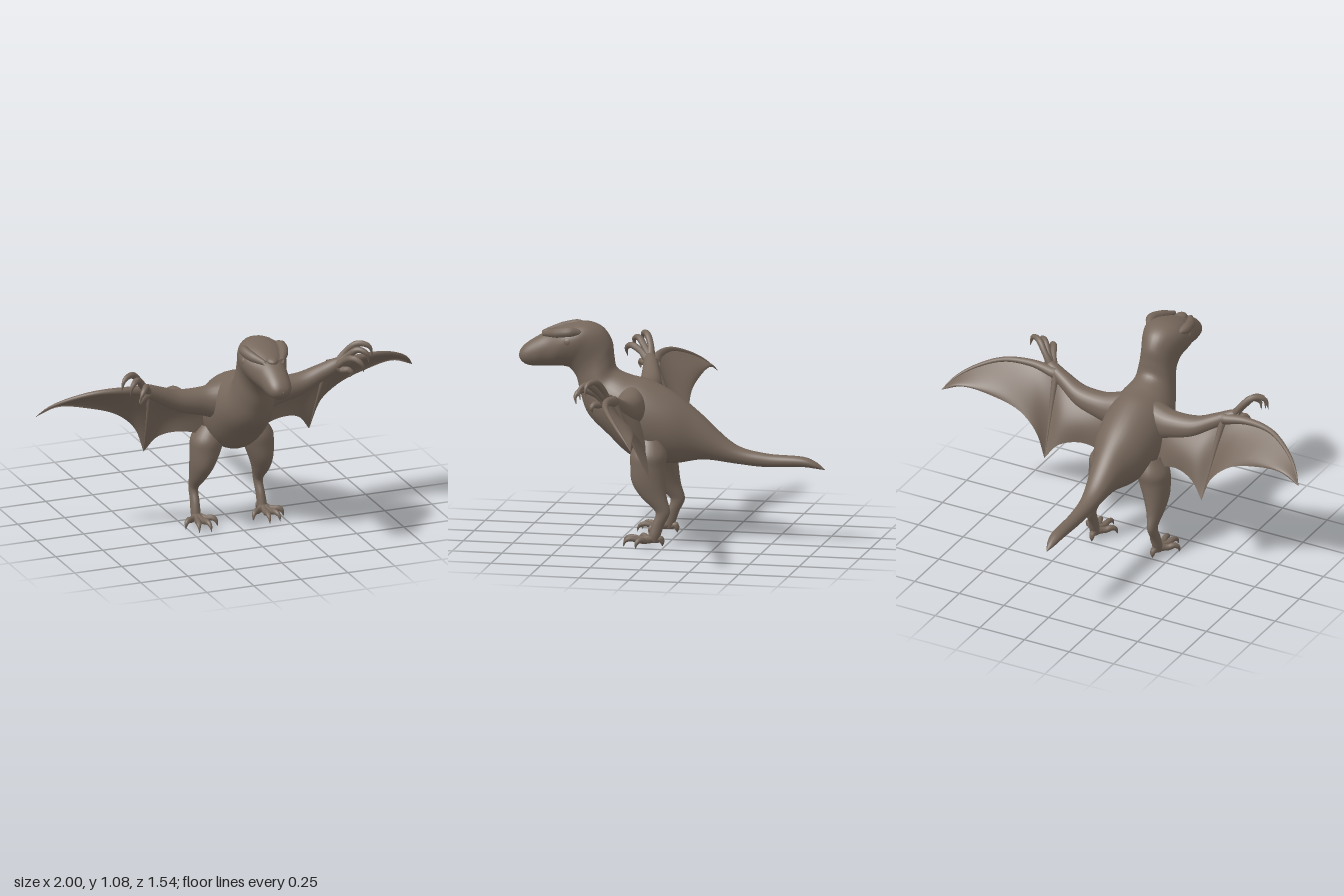
import * as THREE from 'three';

const hide = new THREE.MeshStandardMaterial({ color: 0x76675b, side: THREE.DoubleSide });
hide.name = 'brown hide';
const V = (x, y, z) => new THREE.Vector3(x, y, z);

// Surface from rows of points; closed rows wrap around
function skin(rows, closed) {
  const n = rows[0].length, pos = [], idx = [];
  rows.forEach(r => r.forEach(p => pos.push(p.x, p.y, p.z)));
  for (let i = 0; i < rows.length - 1; i++) {
    for (let j = 0; j < (closed ? n : n - 1); j++) {
      const a = i * n + j, b = i * n + (j + 1) % n;
      idx.push(a, b, a + n, b, b + n, a + n);
    }
  }
  const g = new THREE.BufferGeometry();
  g.setAttribute('position', new THREE.Float32BufferAttribute(pos, 3));
  g.setIndex(idx);
  g.computeVertexNormals();
  return g;
}

// Oval ring around centre c with half axes u and v; taper widens the v side
function ring(c, u, v, n, taper = 0) {
  return Array.from({ length: n }, (_, j) => {
    const a = j / n * Math.PI * 2, s = Math.sin(a);
    return c.clone().addScaledVector(u, Math.cos(a) * (1 + taper * s)).addScaledVector(v, s);
  });
}

// Smooth loft through sections { c, u, v, taper }
function loft(sections, steps, n) {
  const curve = k => new THREE.CatmullRomCurve3(sections.map(s => s[k]), false, 'catmullrom', 0.5);
  const c = curve('c'), u = curve('u'), v = curve('v');
  const rows = [];
  for (let i = 0; i <= steps; i++) {
    const t = i / steps, f = t * (sections.length - 1);
    const k = Math.min(Math.floor(f), sections.length - 2);
    const taper = THREE.MathUtils.lerp(sections[k].taper || 0, sections[k + 1].taper || 0, f - k);
    rows.push(ring(c.getPoint(t), u.getPoint(t), v.getPoint(t), n, taper));
  }
  return skin(rows, true);
}

// Round tube whose radius follows the list radii
function taperTube(points, radii, n = 10, steps = 20) {
  const curve = new THREE.CatmullRomCurve3(points.map(p => V(...p)));
  const { normals, binormals } = curve.computeFrenetFrames(steps);
  const rows = normals.map((nrm, i) => {
    const f = i / steps * (radii.length - 1), k = Math.min(Math.floor(f), radii.length - 2);
    const r = THREE.MathUtils.lerp(radii[k], radii[k + 1], f - k);
    return ring(curve.getPointAt(i / steps), nrm.clone().multiplyScalar(r), binormals[i].clone().multiplyScalar(r), n);
  });
  return skin(rows, true);
}

function mirrored(geo) {
  const g = geo.clone().scale(-1, 1, 1), ix = g.index;
  for (let i = 0; i < ix.count; i += 3) {
    const b = ix.getX(i + 1);
    ix.setX(i + 1, ix.getX(i + 2));
    ix.setX(i + 2, b);
  }
  g.computeVertexNormals();
  return g;
}

export function createModel() {
  const model = new THREE.Group();
  model.name = 'wingedReptile';
  const add = (name, geo) => {
    const m = new THREE.Mesh(geo, hide);
    m.name = name;
    model.add(m);
  };
  const pair = (name, geo) => {
    add(name + 'Left', geo);
    add(name + 'Right', mirrored(geo));
  };

  // Body from tail tip to snout: top z, y, bottom z, y, half width, taper
  const body = [
    [-0.77, 0.391, -0.77, 0.387, 0.002], [-0.72, 0.428, -0.72, 0.393, 0.022],
    [-0.65, 0.45, -0.65, 0.398, 0.032], [-0.47, 0.458, -0.47, 0.39, 0.035],
    [-0.31, 0.5, -0.33, 0.4, 0.047], [-0.14, 0.645, -0.16, 0.415, 0.085],
    [-0.02, 0.735, 0, 0.39, 0.14], [0.11, 0.8, 0.18, 0.41, 0.165],
    [0.21, 0.822, 0.32, 0.525, 0.15], [0.28, 0.855, 0.42, 0.62, 0.112],
    [0.295, 0.92, 0.46, 0.72, 0.095], [0.305, 0.99, 0.48, 0.8, 0.088],
    [0.35, 1.055, 0.51, 0.843, 0.1, 0.1], [0.425, 1.083, 0.535, 0.854, 0.113, 0.2],
    [0.51, 1.07, 0.575, 0.855, 0.108, 0.25], [0.605, 1.035, 0.63, 0.853, 0.08, 0.1],
    [0.67, 1.005, 0.685, 0.849, 0.07], [0.735, 0.962, 0.735, 0.855, 0.057],
    [0.764, 0.93, 0.764, 0.878, 0.034], [0.772, 0.905, 0.772, 0.9, 0.003],
  ];
  add('body', loft(body.map(([tz, ty, bz, by, w, taper]) => ({
    c: V(0, (ty + by) / 2, (tz + bz) / 2), u: V(w, 0, 0), v: V(0, (ty - by) / 2, (tz - bz) / 2), taper,
  })), 110, 36));

  // Brow ridges, eyes and snout bump
  pair('brow', taperTube([[0.07, 1.035, 0.42], [0.098, 1.045, 0.49], [0.085, 1.035, 0.56], [0.045, 1.02, 0.64]],
    [0.008, 0.026, 0.024, 0.012]));
  const eye = new THREE.SphereGeometry(0.025, 16, 12);
  eye.scale(0.6, 0.9, 1).translate(0.103, 0.995, 0.505);
  pair('eye', eye);
  const bump = new THREE.SphereGeometry(0.04, 16, 12);
  bump.scale(0.8, 0.5, 1.1).translate(0, 1.02, 0.615);
  add('snoutBump', bump);

  // Legs: x, y, z, half width, half depth
  const leg = [
    [0.115, 0.53, 0.09, 0.05, 0.06], [0.13, 0.46, 0.09, 0.08, 0.09], [0.14, 0.4, 0.092, 0.076, 0.088],
    [0.155, 0.32, 0.085, 0.059, 0.085], [0.165, 0.25, 0.058, 0.04, 0.066], [0.17, 0.19, 0.017, 0.025, 0.042],
    [0.172, 0.16, 0.012, 0.022, 0.034], [0.174, 0.11, 0.035, 0.022, 0.032], [0.176, 0.06, 0.05, 0.024, 0.03],
    [0.176, 0.025, 0.06, 0.022, 0.028],
  ];
  pair('leg', loft(leg.map(([x, y, z, w, d]) => ({ c: V(x, y, z), u: V(w, 0, 0), v: V(0, 0, d) })), 50, 24));

  // Toes with hooked claws: tip x, z
  [[0.26, 0.13], [0.215, 0.2], [0.155, 0.212], [0.095, 0.14], [0.17, 0.012]].forEach(([x, z], i) => {
    const at = (t, y) => [0.176 + (x - 0.176) * t, y, 0.06 + (z - 0.06) * t];
    pair('toe' + (i + 1), taperTube([at(0, 0.04), at(0.45, 0.035), at(0.75, 0.042), at(0.93, 0.03), at(1, 0.003)],
      [0.022, 0.016, 0.016, 0.012, 0.001]));
  });

  // Arms: x, y, z, half height, half depth
  const arm = [
    [0.04, 0.68, 0.2, 0.12, 0.1], [0.12, 0.68, 0.185, 0.095, 0.08], [0.2, 0.685, 0.175, 0.072, 0.066],
    [0.32, 0.705, 0.18, 0.057, 0.058], [0.42, 0.752, 0.2, 0.046, 0.045], [0.5, 0.793, 0.22, 0.036, 0.034],
    [0.545, 0.81, 0.23, 0.02, 0.02],
  ];
  pair('arm', loft(arm.map(([x, y, z, h, d]) => ({ c: V(x, y, z), u: V(0, h, 0), v: V(0, 0, d) })), 40, 24));

  // Clawed fingers
  [
    [[0.51, 0.8, 0.22], [0.55, 0.86, 0.23], [0.6, 0.905, 0.26], [0.65, 0.895, 0.29], [0.668, 0.84, 0.295]],
    [[0.51, 0.8, 0.22], [0.55, 0.85, 0.26], [0.59, 0.888, 0.3], [0.625, 0.87, 0.33], [0.635, 0.82, 0.325]],
    [[0.5, 0.79, 0.23], [0.53, 0.835, 0.28], [0.555, 0.855, 0.33], [0.585, 0.83, 0.36], [0.595, 0.79, 0.355]],
    [[0.49, 0.79, 0.23], [0.52, 0.775, 0.25], [0.545, 0.78, 0.275], [0.56, 0.765, 0.285], [0.55, 0.742, 0.28]],
  ].forEach((p, i) => pair('finger' + (i + 1), taperTube(p, [0.022, 0.016, 0.017, 0.013, 0.001])));

  // Wing membrane in two scalloped panels, each between an upper and a lower curve
  const wingTip = [1, 0.65, -0.01], cusp = [0.44, 0.4, 0.02], wrist = [0.47, 0.785, 0.195];
  const panel = (top, low, billow) => {
    const a = new THREE.CatmullRomCurve3(top.map(p => V(...p)));
    const b = new THREE.CatmullRomCurve3(low.map(p => V(...p)));
    const rows = [];
    for (let i = 0; i <= 28; i++) {
      const p = a.getPoint(i / 28), q = b.getPoint(i / 28);
      rows.push(Array.from({ length: 13 }, (_, j) => {
        const r = p.clone().lerp(q, j / 12);
        r.z -= billow * Math.sin(j / 12 * Math.PI) * Math.sin(i / 28 * Math.PI);
        return r;
      }));
    }
    return skin(rows, false);
  };
  pair('innerMembrane', panel(
    [[0.1, 0.67, 0.15], [0.25, 0.69, 0.155], [0.38, 0.73, 0.17], wrist],
    [[0.13, 0.47, 0.1], [0.27, 0.503, 0.08], [0.375, 0.478, 0.045], cusp], 0.025));
  const edge = [wrist, [0.6, 0.803, 0.2], [0.75, 0.8, 0.17], [0.88, 0.755, 0.1], [0.96, 0.7, 0.035], wingTip];
  pair('outerMembrane', panel(edge,
    [cusp, [0.49, 0.53, 0.025], [0.59, 0.62, 0.035], [0.74, 0.67, 0.025], [0.89, 0.69, 0.005], wingTip], 0.03));

  // Wing bones: leading edge and strut down to the cusp
  pair('wingFinger', taperTube(edge, [0.03, 0.02, 0.014, 0.011, 0.008, 0.001], 10, 30));
  pair('wingStrut', taperTube([wrist, [0.455, 0.6, 0.11], cusp], [0.02, 0.009, 0.001]));

  return model;
}
